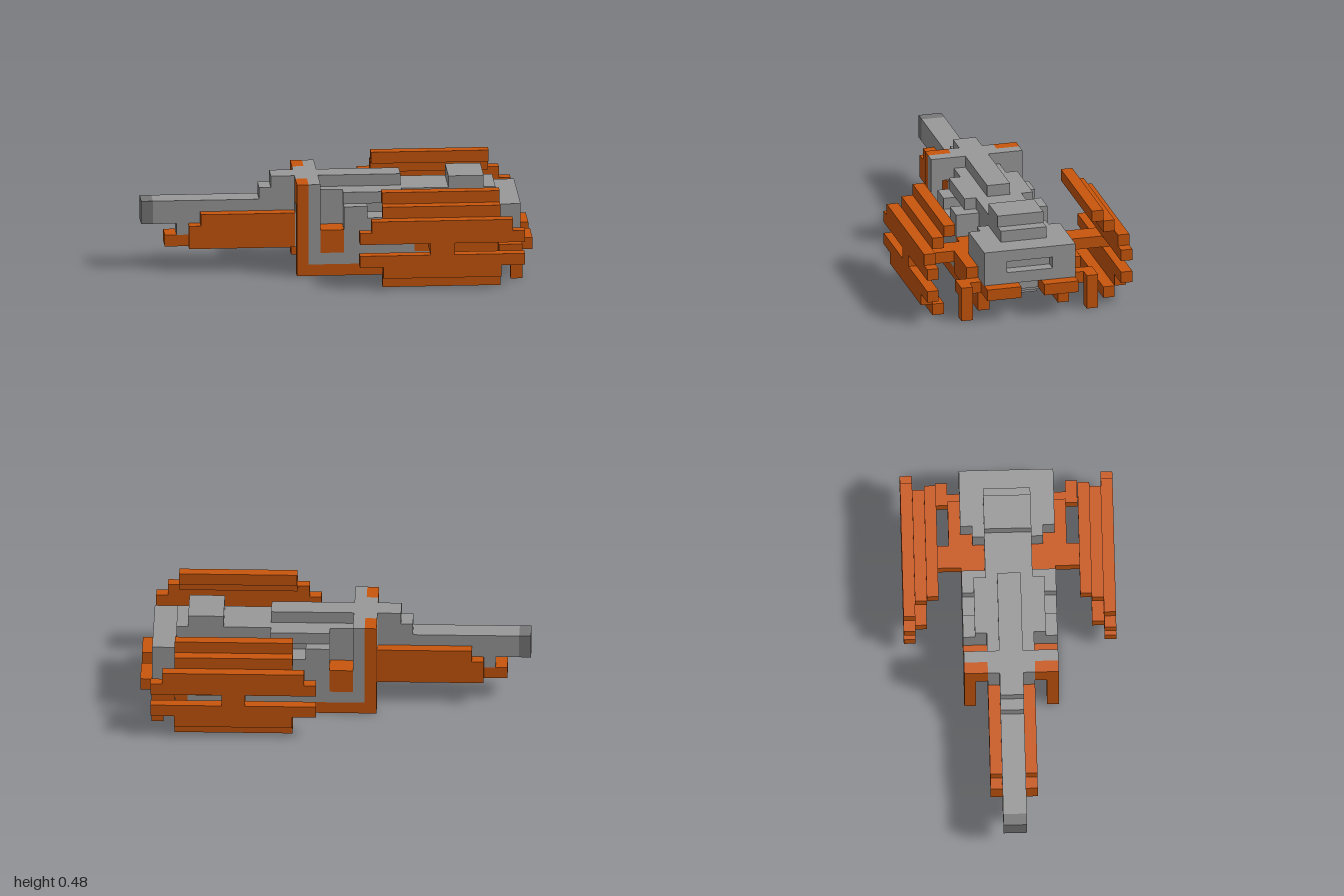
import * as THREE from 'three';

// One grid cell; boxes are given as cell ranges along x (0..33), y (0..8) and z (-9..9).
const U = 2 / 33;

export function createModel() {
  const model = new THREE.Group();
  const mat = (name, color) => {
    const m = new THREE.MeshStandardMaterial({ color });
    m.name = name;
    return m;
  };
  const orange = mat('orange', 0xc8560c);
  const grey = mat('grey', 0x999999);
  const dark = mat('darkGrey', 0x777777);

  const box = (name, m, x0, x1, y0, y1, z0, z1) => {
    const mesh = new THREE.Mesh(new THREE.BoxGeometry((x1 - x0) * U, (y1 - y0) * U, (z1 - z0) * U), m);
    mesh.position.set(((x0 + x1) / 2) * U - 1, ((y0 + y1) / 2) * U, ((z0 + z1) / 2) * U);
    mesh.name = name;
    model.add(mesh);
  };
  const centre = (name, m, x0, x1, y0, y1, half) => box(name, m, x0, x1, y0, y1, -half, half);
  const pair = (name, m, x0, x1, y0, y1, z0, z1) => {
    box(name + 'Left', m, x0, x1, y0, y1, z0, z1);
    box(name + 'Right', m, x0, x1, y0, y1, -z1, -z0);
  };

  // Barrel, its dark muzzle and stepped rise into the spine
  centre('muzzle', dark, 0, 1, 4, 6, 1);
  centre('barrel', grey, 1, 13, 4, 6, 1);
  centre('barrelUnderside', grey, 3, 13, 3, 4, 1);
  centre('spineStep', grey, 10, 13, 6, 7, 1);
  centre('spine', grey, 11, 22, 7, 8, 1);

  // Orange rails hugging the barrel
  centre('lowerRail', orange, 2, 13, 2, 3, 1);
  pair('lowerSideRail', orange, 4, 13, 2, 4, 1, 2);
  pair('upperSideRail', orange, 5, 13, 4, 5, 1, 2);

  // Central hull and keel
  centre('hull', grey, 13, 27, 2, 7, 2);
  centre('keel', grey, 14, 27, 0, 1, 2);
  centre('keelTop', grey, 14, 29, 1, 2, 2);
  centre('bridge', grey, 13, 15, 7, 8, 2);

  // Hoop around the hull: orange front edge, grey back
  pair('hoopEdge', orange, 13, 14, 0, 8, 3, 4);
  pair('hoopEdgeTop', orange, 13, 14, 6, 8, 2, 3);
  pair('hoopColumn', grey, 14, 15, 1, 8, 3, 4);
  pair('hoopColumnTop', grey, 14, 15, 6, 8, 2, 3);

  // Skids along the bottom
  pair('skid', orange, 14, 30, 0, 1, 3, 4);
  pair('skidTop', grey, 15, 29, 1, 2, 3, 4);
  pair('skidEnd', orange, 29, 30, 1, 2, 3, 4);

  // Side bulges with a dip in the middle
  pair('bulgeFront', grey, 17, 19, 2, 6, 2, 4);
  pair('bulgeMiddle', grey, 19, 21, 2, 5, 2, 4);
  pair('bulgeBack', grey, 21, 23, 2, 6, 2, 4);
  pair('bulgeCap', grey, 17, 22, 6, 7, 2, 3);
  pair('frontSidePanel', orange, 15, 17, 2, 4, 2, 4);
  pair('rearSidePanel', orange, 23, 27, 2, 4, 2, 4);

  // Stepped rear housing
  pair('rearShoulder', grey, 26, 27, 4, 6, 2, 3);
  centre('rearBlock', grey, 27, 31, 3, 6, 4);
  centre('rearFace', grey, 31, 32, 3, 4, 4);
  pair('rearFaceSide', grey, 31, 32, 4, 6, 3, 4);
  pair('rearFaceInner', grey, 31, 32, 4, 5, 2, 3);
  centre('rearFaceTop', grey, 31, 32, 5, 6, 3);
  centre('rearCapBase', grey, 26, 30, 6, 7, 2);
  centre('rearCap', grey, 26, 29, 7, 8, 2);

  // Rear floor, tail lip and legs
  centre('rearFloor', grey, 27, 31, 2, 3, 1);
  pair('tailRail', orange, 27, 33, 2, 3, 1, 4);
  pair('legArm', orange, 26, 31, 2, 3, 4, 5);
  pair('armTop', orange, 26, 30, 3, 4, 4, 5);
  pair('legBracket', orange, 30, 32, 2, 3, 5, 6);
  pair('leg', orange, 31, 32, 0, 2, 5, 6);

  // Curved slatted wings: [x0, x1, y0, z0]
  pair('wingStrut', orange, 24, 26, 3, 4, 4, 9);
  [
    [20, 30, 0, 7], [20, 30, 1, 8], [18, 32, 2, 8], [18, 32, 4, 8],
    [19, 31, 5, 8], [20, 30, 6, 7], [20, 30, 7, 6],
  ].forEach(([x0, x1, y, z], i) => pair('wingSlat' + (i + 1), orange, x0, x1, y, y + 1, z, z + 1));

  return model;
}
